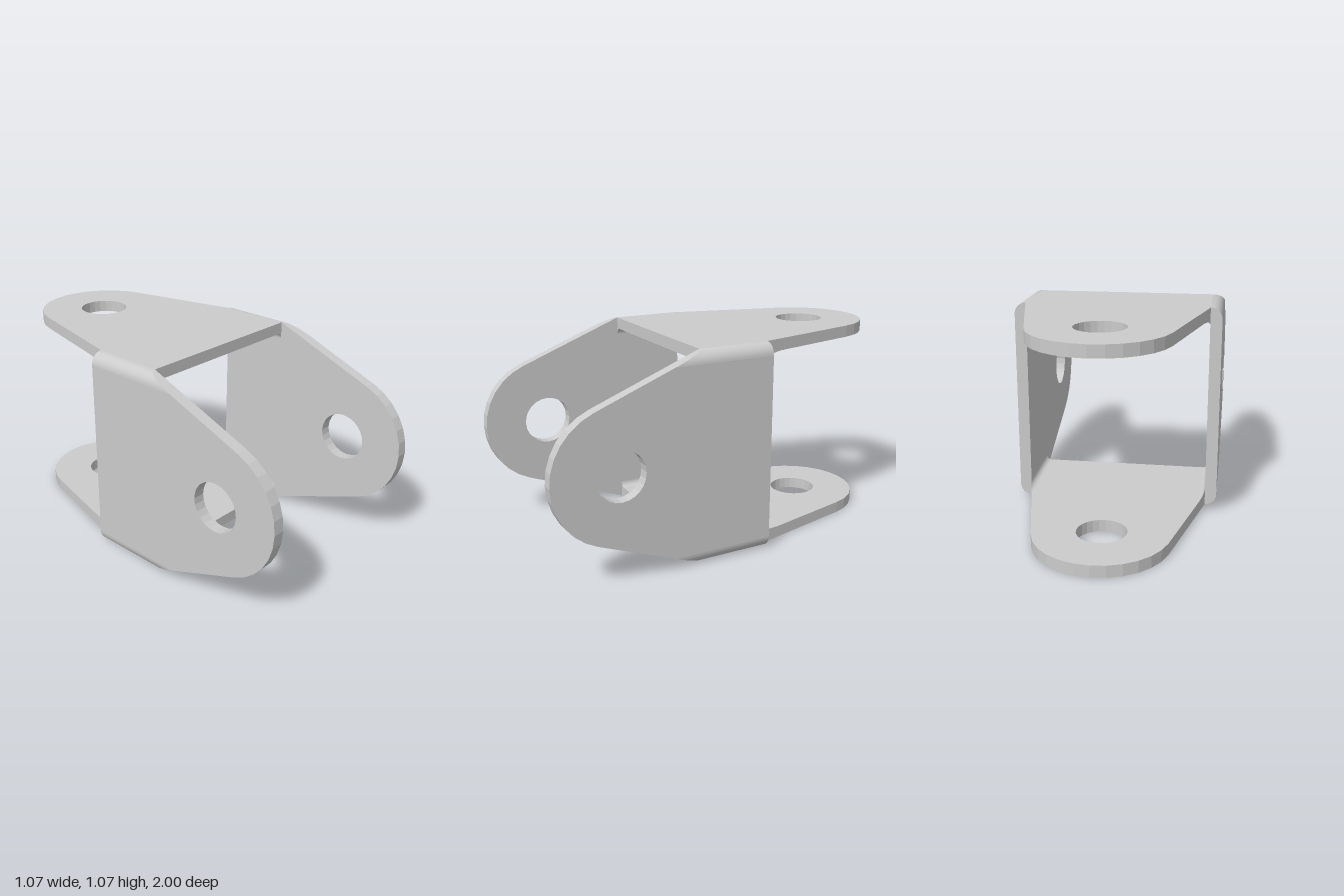
import * as THREE from 'three';
import { toCreasedNormals } from 'three/addons/utils/BufferGeometryUtils.js';

const S = 0.5325;            // outer half size of the square section
const WALL = 0.06;
const I = S - WALL;          // inner half size
const FILLET = 0.03;         // inner corner radius
const FRONT = 0.23, BACK = -0.145;
const EYE = 0.66, EYE_R = 0.34, HOLE_R = 0.125;

// Straight taper from (u, v) tangent to the rounded end of a lug.
function taper(u, v) {
  const angle = Math.atan2(v, u - EYE) - Math.acos(EYE_R / Math.hypot(u - EYE, v));
  const tu = EYE + EYE_R * Math.cos(angle), tv = EYE_R * Math.sin(angle);
  return { angle, at: (w) => u + (tu - u) * (v - w) / (v - tv) };
}
const sideTaper = taper(FRONT, S);
const flatTaper = taper(-BACK, I);

// Flat plate with a tapered, rounded end and a pin hole; length runs along shape y.
function lugGeometry(start, t) {
  const shape = new THREE.Shape();
  shape.moveTo(-I, start);
  shape.lineTo(I, start);
  shape.lineTo(I, t.at(I));
  shape.absarc(0, EYE, EYE_R, Math.PI / 2 - t.angle, Math.PI / 2 + t.angle, false);
  shape.lineTo(-I, t.at(I));
  const hole = [];
  for (let i = 0; i < 24; i++) {
    const a = -i / 24 * Math.PI * 2;
    hole.push(new THREE.Vector2(HOLE_R * Math.cos(a), EYE + HOLE_R * Math.sin(a)));
  }
  shape.holes.push(new THREE.Path(hole));
  return new THREE.ExtrudeGeometry(shape, { depth: WALL, bevelEnabled: false, curveSegments: 6 });
}

// Quarter-round strip along z whose two ends follow the given rules.
function cornerGeometry(sx, sy, centre, radius, z0, z1) {
  const pts = [new THREE.Vector2(sx * I, sy * I)];
  for (let i = 0; i <= 8; i++) {
    const a = i / 8 * Math.PI / 2;
    pts.push(new THREE.Vector2(sx * (centre + radius * Math.cos(a)), sy * (centre + radius * Math.sin(a))));
  }
  const geo = new THREE.ExtrudeGeometry(new THREE.Shape(pts), { depth: 1, bevelEnabled: false });
  const p = geo.attributes.position;
  for (let i = 0; i < p.count; i++) {
    const x = Math.abs(p.getX(i)), y = Math.abs(p.getY(i));
    p.setZ(i, p.getZ(i) > 0.5 ? z1(x, y) : z0(x, y));
  }
  return toCreasedNormals(geo, 0.5);
}

export function createModel() {
  const group = new THREE.Group();
  const material = new THREE.MeshStandardMaterial({ color: 0xcccccc });
  const add = (name, geo, x = 0, y = S) => {
    const mesh = new THREE.Mesh(geo, material);
    mesh.name = name;
    mesh.position.set(x, y, 0);
    group.add(mesh);
  };

  // Top and bottom lugs reach to the back.
  const flat = lugGeometry(-FRONT, flatTaper).rotateX(-Math.PI / 2);
  add('topLug', flat, 0, 2 * S - WALL);
  add('bottomLug', flat, 0, 0);

  // Side lugs reach to the front.
  const side = lugGeometry(BACK, sideTaper).applyMatrix4(new THREE.Matrix4().makeBasis(
    new THREE.Vector3(0, 1, 0), new THREE.Vector3(0, 0, 1), new THREE.Vector3(1, 0, 0)));
  add('leftLug', side, I);
  add('rightLug', side, -S);

  // Rounded bends outside and fillets inside, cut by the tapers.
  for (const sx of [1, -1]) for (const sy of [1, -1]) {
    const where = (sy > 0 ? 'top' : 'bottom') + (sx > 0 ? 'Left' : 'Right');
    add(where + 'Bend', cornerGeometry(sx, sy, I, WALL, () => BACK, (x, y) => sideTaper.at(y)));
    add(where + 'Fillet', cornerGeometry(sx, sy, I - FILLET, FILLET, (x) => -flatTaper.at(x), () => FRONT));
  }
  return group;
}
